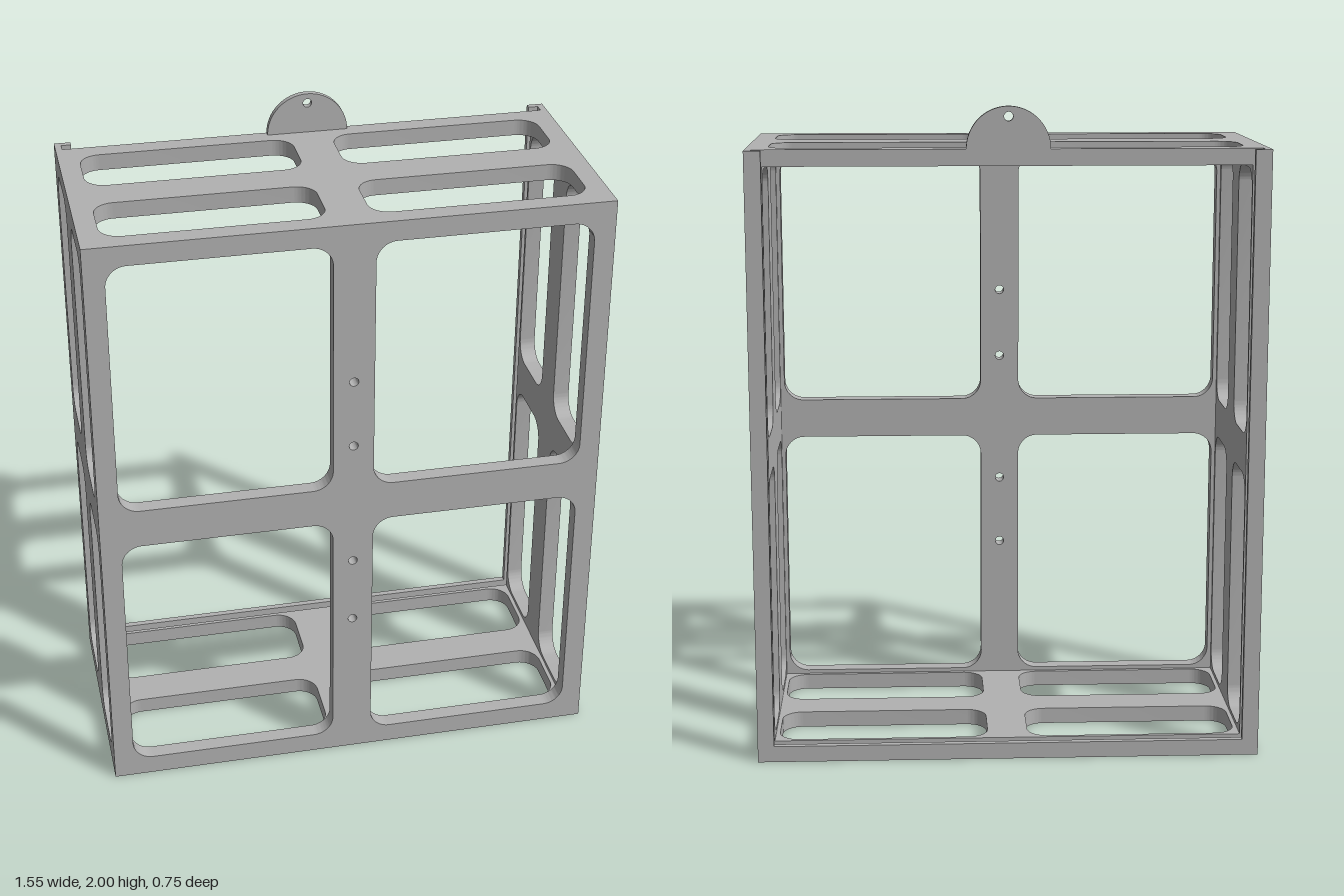
import * as THREE from 'three';
import { toCreasedNormals } from 'three/addons/utils/BufferGeometryUtils.js';

const W = 0.775, H = 1.875, D = 0.375; // half width, height, half depth
const T = 0.05;                        // wall thickness
const M = 0.0625;                      // border, half bar and corner radius
const GROOVE = -0.325, LIP = -0.355;   // rear groove between these depths

export function createModel() {
  const grey = new THREE.MeshStandardMaterial({ color: 0xb2b2b2 });
  grey.name = 'plain grey';
  const model = new THREE.Group();
  model.name = 'openFrameCase';

  const extrude = (shape, depth) => toCreasedNormals(
    new THREE.ExtrudeGeometry(shape, { depth, bevelEnabled: false, curveSegments: 12 }), 0.5);

  const add = (name, geometry) => {
    const mesh = new THREE.Mesh(geometry, grey);
    mesh.name = name;
    model.add(mesh);
  };

  const polygon = (points) => new THREE.Shape(points.map(([x, y]) => new THREE.Vector2(x, y)));
  const rect = (x0, x1, y0, y1) => polygon([[x0, y0], [x1, y0], [x1, y1], [x0, y1]]);

  // Rounded window opening
  const windowPath = (x0, x1, y0, y1, r = M) => {
    const p = new THREE.Path();
    p.moveTo(x0 + r, y0);
    p.absarc(x1 - r, y0 + r, r, -Math.PI / 2, 0);
    p.absarc(x1 - r, y1 - r, r, 0, Math.PI / 2);
    p.absarc(x0 + r, y1 - r, r, Math.PI / 2, Math.PI);
    p.absarc(x0 + r, y0 + r, r, Math.PI, Math.PI * 1.5);
    p.closePath();
    return p;
  };

  const roundHole = (x, y, r) => new THREE.Path().absarc(x, y, r, 0, Math.PI * 2, true);

  // Cut a two by two set of windows out of a panel of the given extent
  const cutWindows = (shape, x0, x1, y0, y1) => {
    const spans = (a, b) => [[a + M, (a + b) / 2 - M], [(a + b) / 2 + M, b - M]];
    for (const [xa, xb] of spans(x0, x1))
      for (const [ya, yb] of spans(y0, y1)) shape.holes.push(windowPath(xa, xb, ya, yb));
    return shape;
  };

  // Front panel with four screw holes in the centre bar
  const front = cutWindows(rect(-W, W, 0, H), -W, W, 0, H);
  for (const y of [0.51, 0.73, 1.145, 1.365]) front.holes.push(roundHole(0, y, 0.014));
  add('frontPanel', extrude(front, T).translate(0, 0, D - T));

  // Side panels
  for (const [name, x] of [['leftPanel', W], ['rightPanel', T - W]]) {
    const side = cutWindows(rect(GROOVE, D - T, 0, H), -D, D, 0, H);
    add(name, extrude(side, T).rotateY(-Math.PI / 2).translate(x, 0, 0));
  }

  // Top panel stops short at the groove, bottom panel runs the full depth
  for (const [name, y, back] of [['topPanel', H, GROOVE], ['bottomPanel', T, -D]]) {
    const plate = cutWindows(rect(T - W, W - T, GROOVE, D - T), -W, W, back, D);
    add(name, extrude(plate, T).rotateX(Math.PI / 2).translate(0, y, 0));
  }

  // Rear U frames: a thin groove floor, then a full thickness lip
  const uFrame = (t) => polygon([
    [-W, 0], [W, 0], [W, H], [W - t, H], [W - t, t], [t - W, t], [t - W, H], [-W, H],
  ]);
  add('grooveFloor', extrude(uFrame(0.02), GROOVE - LIP).translate(0, 0, LIP));
  add('rearLip', extrude(uFrame(T), LIP + D).translate(0, 0, -D));

  // Half round hanging tab
  const tab = new THREE.Shape();
  tab.absarc(0, 0, 0.125, 0, Math.PI);
  tab.closePath();
  tab.holes.push(roundHole(0, 0.095, 0.0135));
  const tabGeometry = new THREE.ExtrudeGeometry(tab, { depth: 0.02, bevelEnabled: false, curveSegments: 32 });
  add('hangingTab', toCreasedNormals(tabGeometry, 0.5).translate(0, H, GROOVE));

  return model;
}
